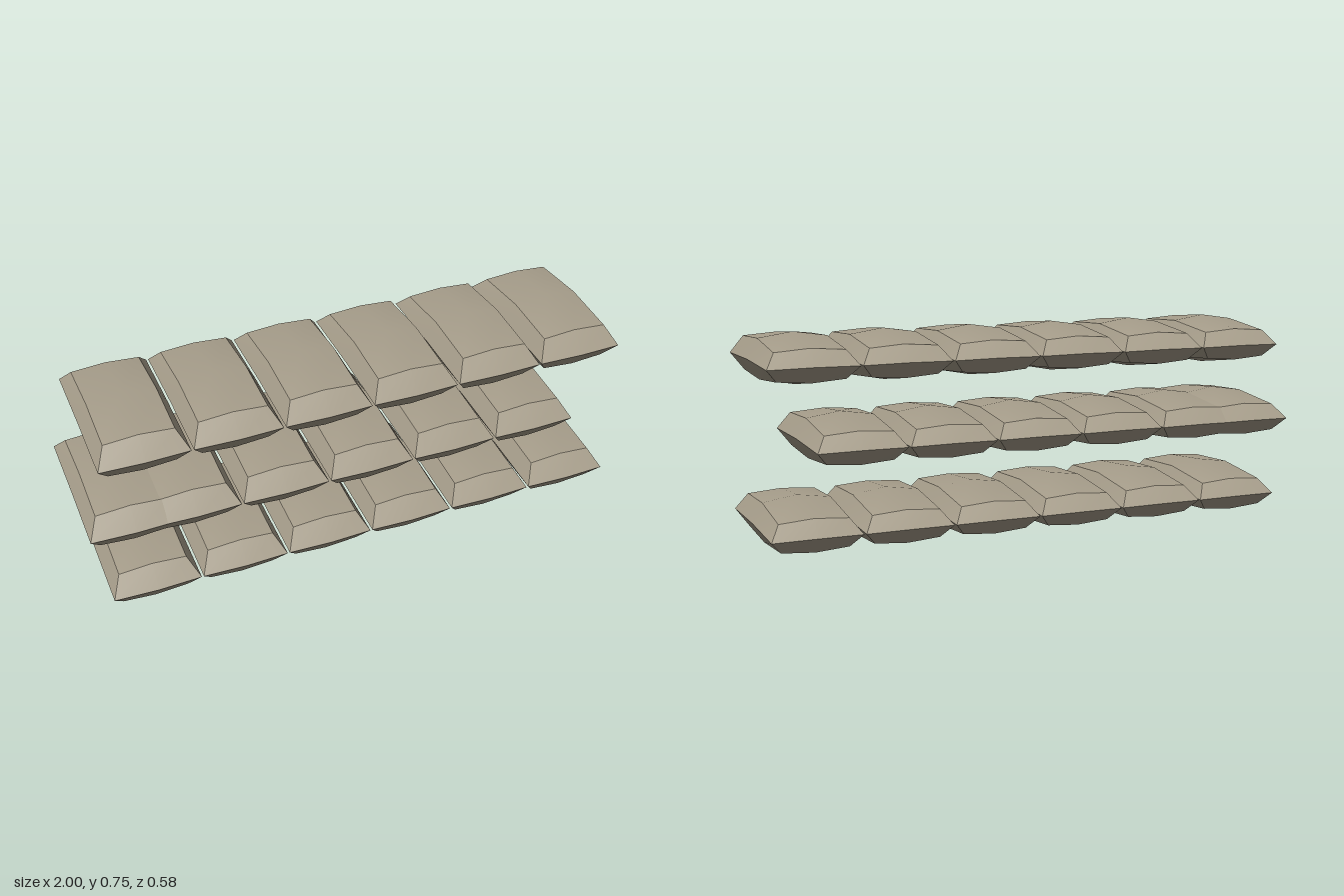
import * as THREE from 'three';
import { toCreasedNormals } from 'three/addons/utils/BufferGeometryUtils.js';

// One stuffed sandbag: a 2x2x2 segmented box whose lattice is bulged and pinched.
function bagGeometry() {
  const geometry = new THREE.BoxGeometry(2, 2, 2, 2, 2, 2);
  const p = geometry.attributes.position;
  for (let i = 0; i < p.count; i++) {
    const x = Math.round(p.getX(i)), y = Math.round(p.getY(i)), z = Math.round(p.getZ(i));
    const side = Math.abs(x);
    let px, py, pz;
    if (y === 0) {
      // Wide seam around the middle, slightly skewed towards the back
      px = x * 0.158 - z * 0.004;
      pz = z * (side ? 0.282 : 0.291);
      py = 0.096 - 0.006 * Math.abs(z) - 0.003 * side;
    } else if (y > 0) {
      // Domed top, a little lower at the back
      px = x * 0.122 - z * 0.004;
      pz = z > 0 ? 0.226 : z * 0.235;
      py = z === 0 ? 0.181 - 0.018 * side : (z > 0 ? 0.16 : 0.147) - 0.009 * side;
    } else {
      // Rounded underside
      px = x * 0.118 - z * 0.004;
      pz = z > 0 ? 0.236 : z * 0.245;
      py = z === 0 ? 0.022 * side : (z > 0 ? 0.02 : 0.033) + 0.009 * side;
    }
    p.setXYZ(i, px, py, pz);
  }
  return toCreasedNormals(geometry, 0.5);
}

export function createModel() {
  const model = new THREE.Group();
  model.name = 'sandbagWall';
  const material = new THREE.MeshStandardMaterial({ color: 0xa89f8c });
  const geometry = bagGeometry();
  const pitch = 0.324, rise = 0.284;

  // Three courses; the middle one is staggered, its first bag pushed into its neighbour
  ['bottomRow', 'middleRow', 'topRow'].forEach((name, r) => {
    const row = new THREE.Group();
    row.name = name;
    row.position.y = r * rise;
    for (let i = 0; i < 6; i++) {
      const bag = new THREE.Mesh(geometry, material);
      bag.name = 'sandbag';
      bag.position.x = -0.784 + i * pitch;
      if (r === 1) bag.position.x = i === 0 ? -0.838 : -0.946 + i * pitch;
      row.add(bag);
    }
    model.add(row);
  });
  return model;
}
